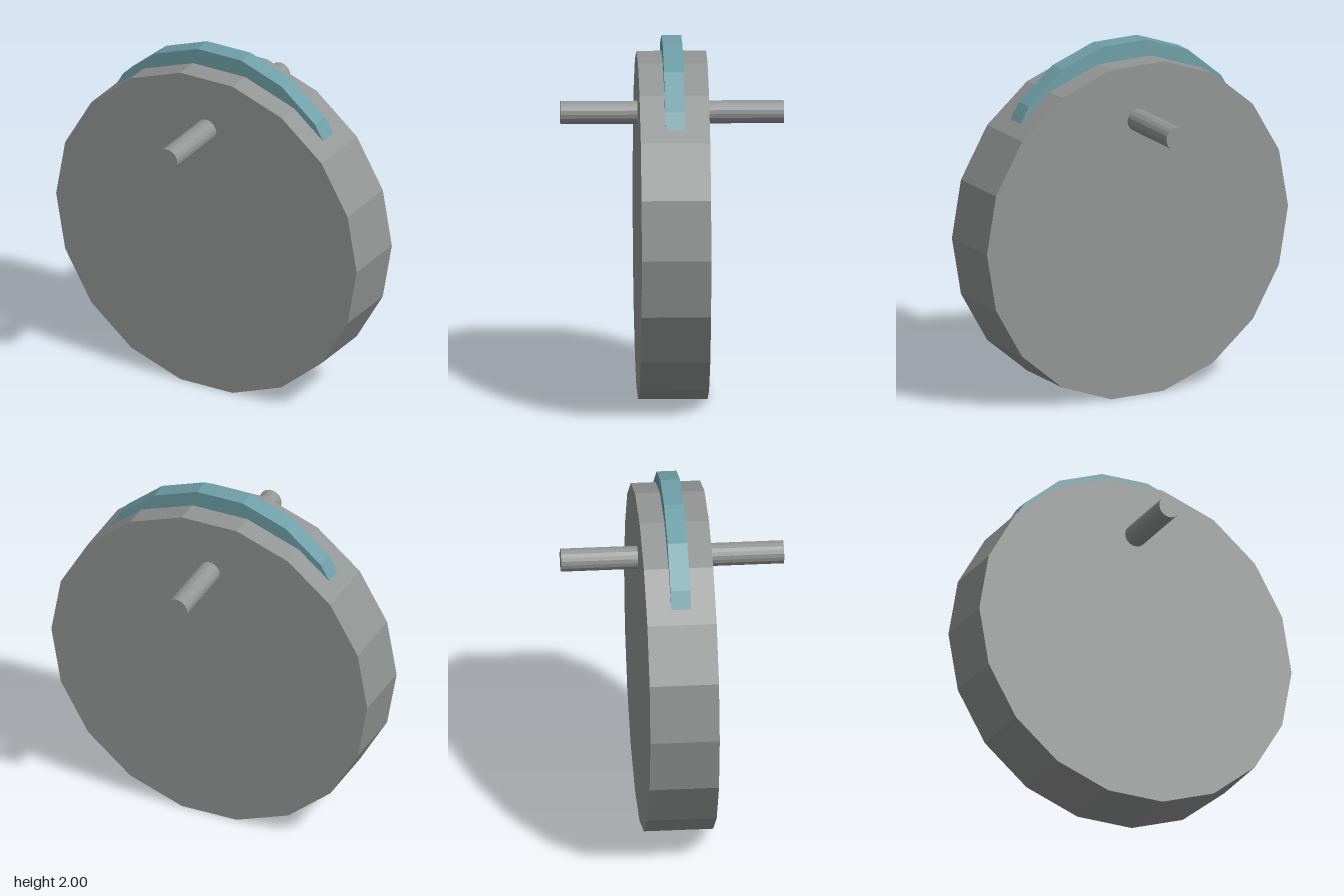
import * as THREE from 'three';

const SIDES = 18;

export function createModel() {
  const model = new THREE.Group();
  model.name = 'wheel';

  const grey = new THREE.MeshStandardMaterial({ color: 0x929694, flatShading: true });
  grey.name = 'stone grey';
  const teal = new THREE.MeshStandardMaterial({ color: 0x6f9fa8, flatShading: true });
  teal.name = 'dusty teal';

  // Faceted disc lying along z, with a flat facet on top
  function addDisc(name, radius, depth, y, material) {
    const geometry = new THREE.CylinderGeometry(radius, radius, depth, SIDES, 1, false, Math.PI / 2);
    geometry.rotateX(Math.PI / 2);
    const mesh = new THREE.Mesh(geometry, material);
    mesh.name = name;
    mesh.position.y = y;
    model.add(mesh);
  }

  // Thick main body
  addDisc('body', 0.967, 0.386, 0.952, grey);
  // Thin raised blade rising out of the top of the body
  addDisc('blade', 0.806, 0.11, 1.206, teal);
  // Axle rod through the upper part
  addDisc('axle', 0.064, 1.24, 1.592, grey);

  return model;
}
